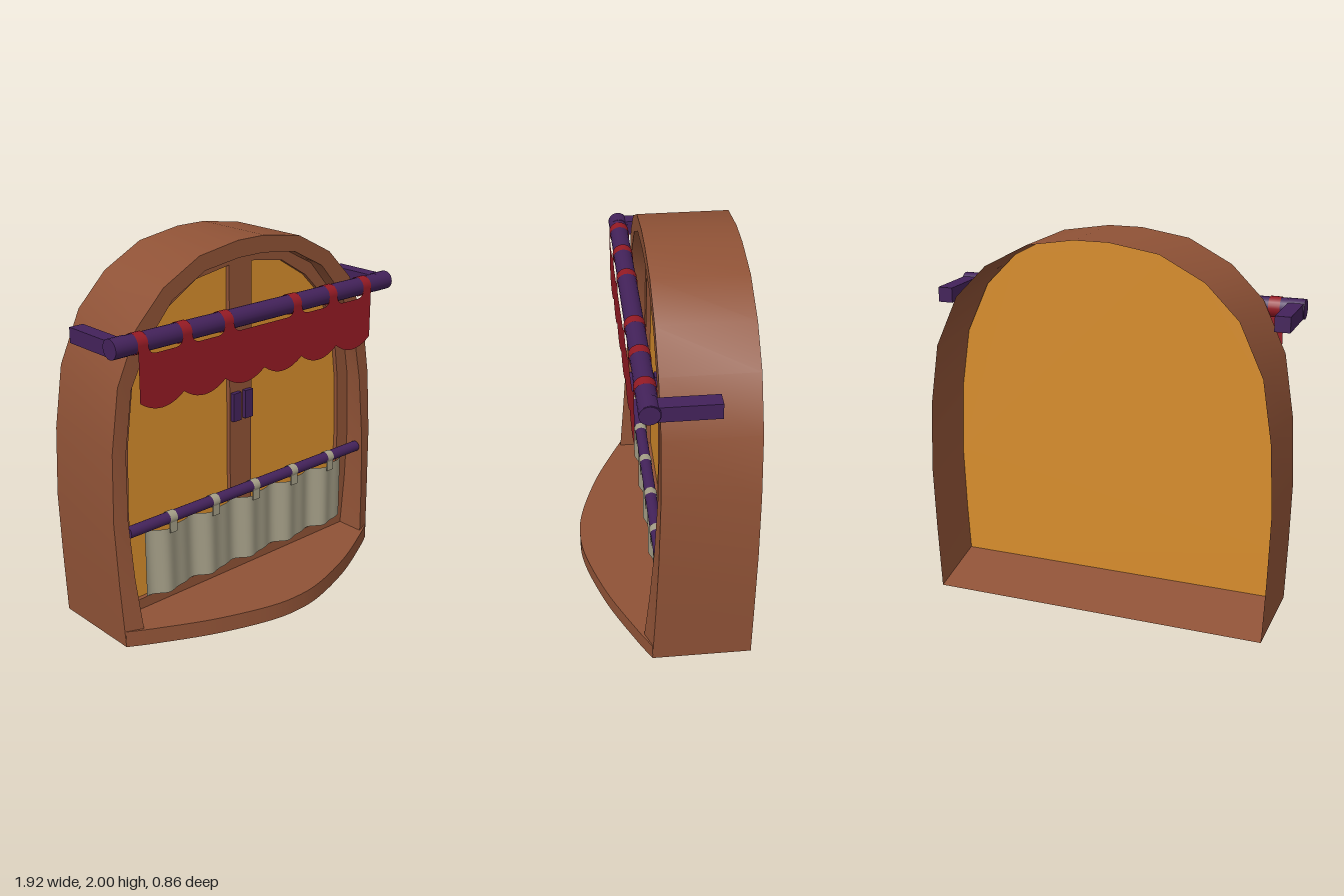
import * as THREE from 'three';

const mat = (color) => new THREE.MeshStandardMaterial({ color, side: THREE.DoubleSide });

// Half outlines of the arch: [half width, height], from the ground up to the crown
const OUTER = [[0.915, 0], [0.93, 0.35], [0.94, 0.7], [0.922, 1.07], [0.87, 1.4], [0.745, 1.67], [0.575, 1.84], [0.345, 1.96], [0.09, 2]];
const INNER = [[0.825, 0.09], [0.85, 0.38], [0.862, 0.7], [0.845, 1.05], [0.79, 1.37], [0.67, 1.6], [0.52, 1.77], [0.31, 1.88], [0.085, 1.91]];
const PANE = [[0.75, 0.15], [0.767, 0.4], [0.773, 0.7], [0.76, 1.05], [0.72, 1.35], [0.61, 1.58], [0.48, 1.71], [0.3, 1.82], [0.078, 1.855]];

const mirrored = (half) => [...half, ...half.map(([x, y]) => [-x, y]).reverse()];
const shapeOf = (pts) => new THREE.Shape(pts.map(([x, y]) => new THREE.Vector2(x, y)));

// The front of the frame leans forward towards the ground
const lean = (amount) => ([x, y]) => [x, y, 0.05 + amount * Math.pow(Math.max(0, 1.4 - y) / 1.4, 1.5)];
const atZ = (z) => ([x, y]) => [x, y, z];

// Smooth surface between rows of points of equal length
function loft(rows) {
  const n = rows[0].length, index = [];
  for (let r = 0; r < rows.length - 1; r++) {
    for (let i = 0; i < n - 1; i++) {
      const a = r * n + i, b = a + n;
      index.push(a, a + 1, b, b, a + 1, b + 1);
    }
  }
  const g = new THREE.BufferGeometry();
  g.setAttribute('position', new THREE.Float32BufferAttribute(rows.flat(2), 3));
  g.setIndex(index);
  g.computeVertexNormals();
  return g;
}

const extrude = (shape, depth) => new THREE.ExtrudeGeometry(shape, { depth, bevelEnabled: false, curveSegments: 10 });

export function createModel() {
  const model = new THREE.Group();
  const brown = mat(0x8f5236), orange = mat(0xd68c2c), purple = mat(0x43225a);
  const red = mat(0x941a24), linen = mat(0xa39d86);

  const add = (name, geometry, material, x = 0, y = 0, z = 0, parent = model) => {
    const m = new THREE.Mesh(geometry, material);
    m.name = name;
    m.position.set(x, y, z);
    parent.add(m);
    return m;
  };
  const rodAlongX = (r, length, open = false) =>
    new THREE.CylinderGeometry(r, r, length, 20, 1, open).rotateZ(Math.PI / 2);

  // Arched window case
  const casing = new THREE.Group();
  casing.name = 'windowCase';
  casing.position.x = -0.015;
  model.add(casing);
  const outer = mirrored(OUTER), inner = mirrored(INNER);
  const outerFront = outer.map(lean(0.045)), innerFront = inner.map(lean(0.088));
  add('outerWall', loft([outerFront, outer.map(atZ(-0.43))]), brown, 0, 0, 0, casing);
  add('frontFrame', loft([innerFront, outerFront]), brown, 0, 0, 0, casing);
  add('innerReveal', loft([inner.map(atZ(-0.06)), innerFront]), brown, 0, 0, 0, casing);

  // Bowed sill at the front, sloping floor at the back
  const sill = new THREE.Shape();
  sill.moveTo(-0.915, 0.06);
  sill.lineTo(-0.915, -0.095);
  sill.splineThru([[-0.78, -0.17], [-0.5, -0.305], [-0.2, -0.405], [0, -0.43], [0.2, -0.405], [0.5, -0.305], [0.78, -0.17], [0.915, -0.095]]
    .map(([x, y]) => new THREE.Vector2(x, y)));
  sill.lineTo(0.915, 0.06);
  add('sill', extrude(sill, 0.09).rotateX(-Math.PI / 2), brown, 0, 0, 0, casing);
  const wedge = shapeOf([[-0.43, 0], [-0.06, 0], [-0.06, 0.085]]);
  add('backFloor', extrude(wedge, 1.83).rotateY(-Math.PI / 2), brown, 0.915, 0, 0, casing);

  // Glowing plate with a double window moulding before it
  const plate = OUTER.map(([x, y]) => [x - 0.003, Math.max(0.05, y - 0.003)]);
  add('windowPlate', extrude(shapeOf(mirrored(plate)), 0.02), orange, 0, 0, -0.08, casing);
  const moulding = shapeOf(inner);
  for (const s of [-1, 1]) {
    const hole = [[0.078, 0.15], ...PANE].map(([x, y]) => new THREE.Vector2(s * x, y));
    moulding.holes.push(new THREE.Path(hole));
  }
  add('windowMoulding', extrude(moulding, 0.025), brown, 0, 0, -0.06, casing);
  for (const x of [-0.058, 0.026]) add('handle', new THREE.BoxGeometry(0.056, 0.16, 0.03), purple, x, 1.075, -0.025);

  // Upper rod and its wall brackets
  add('upperRod', rodAlongX(0.05, 1.925), purple, -0.0025, 1.625, 0.113);
  for (const x of [-0.92, 0.91]) {
    add('bracket', new THREE.BoxGeometry(0.08, 0.08, 0.3), purple, x, 1.62, -0.07);
    add('rodEnd', rodAlongX(0.052, 0.09), purple, x, 1.625, 0.11);
  }

  // Scalloped valance hanging from loops
  const tabs = [-0.81, -0.54, -0.27, 0.21, 0.48, 0.75];
  const cloth = new THREE.Shape();
  cloth.moveTo(-0.84, 1.34);
  for (let i = 0; i < 6; i++) {
    const x = -0.84 + i * 0.27;
    cloth.quadraticCurveTo(x + 0.135, 1.24, x + 0.27, 1.34);
  }
  for (let i = 5; i >= 0; i--) {
    const x = tabs[i];
    cloth.lineTo(x + 0.03, 1.625);
    cloth.lineTo(x - 0.03, 1.625);
    if (i > 0) {
      const next = tabs[i - 1] + 0.03;
      cloth.quadraticCurveTo(x - 0.03, 1.575, x - 0.08, 1.575);
      cloth.lineTo(next + 0.05, 1.575);
      cloth.quadraticCurveTo(next, 1.575, next, 1.625);
    }
  }
  add('valance', new THREE.ShapeGeometry(cloth, 10), red, 0, 0, 0.167);
  for (const x of tabs) add('valanceLoop', rodAlongX(0.054, 0.06, true), red, x, 1.625, 0.113);

  // Lower rod with a pleated half curtain
  add('lowerRod', rodAlongX(0.031, 1.69), purple, -0.01, 0.615, 0.045);
  const fold = (x) => 0.035 + 0.02 * Math.cos((x - 0.005) * Math.PI * 2 / 0.293) - 0.008 * Math.sin((x - 0.005) * Math.PI * 4 / 0.293);
  const row = (y) => Array.from({ length: 81 }, (_, i) => {
    const x = -0.727 + i * 1.462 / 80;
    return [x, y, fold(x)];
  });
  add('curtain', loft([row(0.185), row(0.56)]), linen);
  for (let i = -2; i <= 2; i++) {
    const x = 0.005 + i * 0.293;
    add('curtainLoop', rodAlongX(0.035, 0.046, true), linen, x, 0.615, 0.045);
    add('curtainStrap', new THREE.BoxGeometry(0.046, 0.08, 0.008), linen, x, 0.578, 0.07);
  }
  return model;
}
